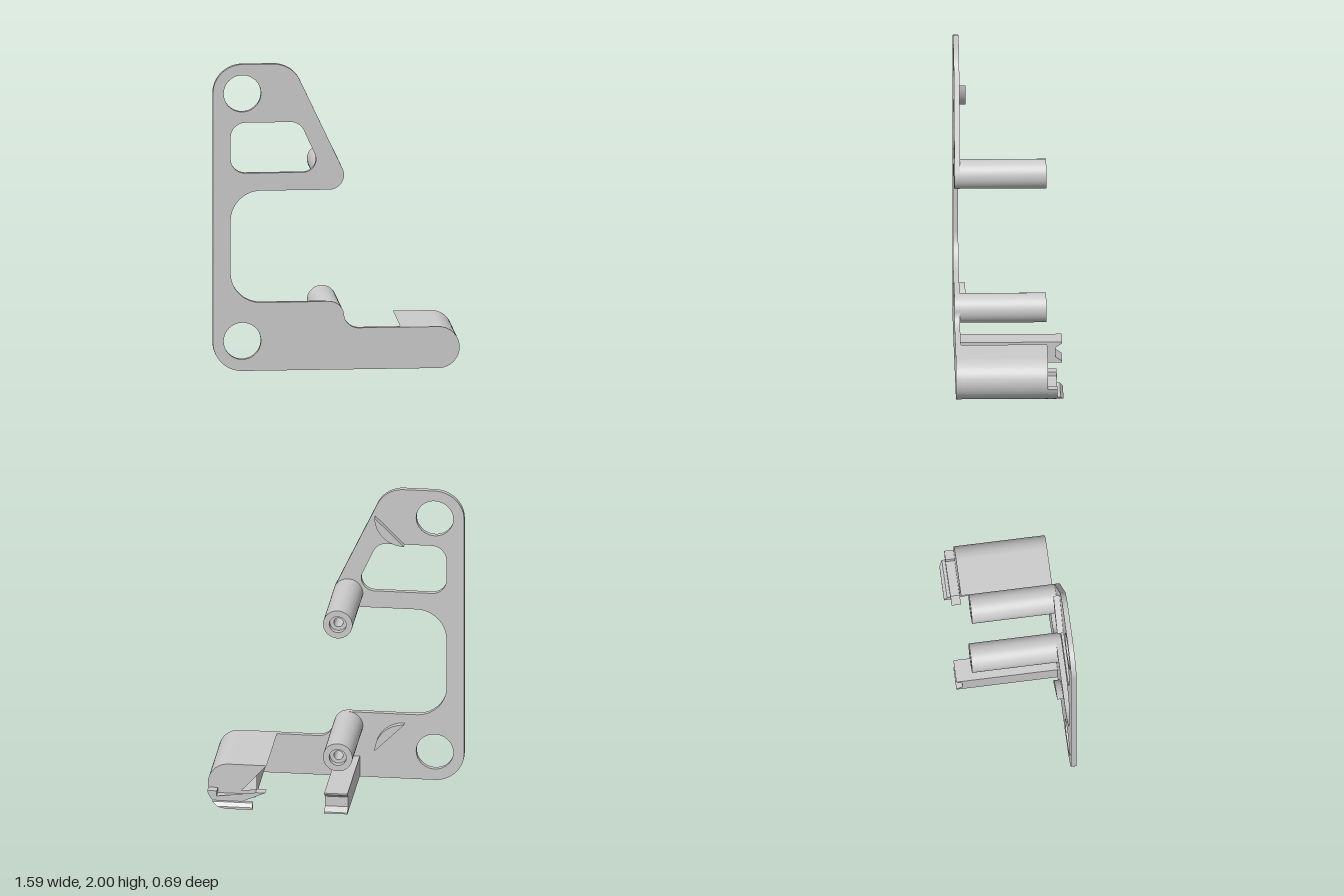
import * as THREE from 'three';
import { toCreasedNormals } from 'three/addons/utils/BufferGeometryUtils.js';

const FRONT = 0.345, BACK = 0.31, END = -0.245, TIP = -0.345;
const HALF = Math.PI / 2;
const material = new THREE.MeshStandardMaterial({ color: 0xcccccc, side: THREE.DoubleSide });

function addMesh(group, name, geometry) {
  const mesh = new THREE.Mesh(toCreasedNormals(geometry, 0.5), material);
  mesh.name = name;
  group.add(mesh);
  return mesh;
}

// Extrude an x-y outline between two depths
function slab(shape, zBack, zFront) {
  const g = new THREE.ExtrudeGeometry(shape, { depth: zFront - zBack, bevelEnabled: false, curveSegments: 24 });
  return g.translate(0, 0, zBack);
}

function polygon(points, Type = THREE.Shape) {
  return new Type(points.map(([x, y]) => new THREE.Vector2(x, y)));
}

function roundHole(x, y, r) {
  const p = new THREE.Path();
  p.absarc(x, y, r, 0, Math.PI * 2, true);
  return p;
}

export function createModel() {
  const model = new THREE.Group();
  model.name = 'bracket';
  const slant = 0.4416; // normal angle of the sloping edge

  // Side plate: clockwise outline made of tangent arcs
  const plate = new THREE.Shape();
  plate.moveTo(-0.8, 0.19);
  plate.lineTo(-0.8, 1.81);
  plate.absarc(-0.61, 1.81, 0.19, Math.PI, HALF, true);
  plate.absarc(-0.41, 1.81, 0.19, HALF, slant, true);
  plate.absarc(-0.05, 1.27, 0.095, slant, -HALF, true);
  plate.absarc(-0.49, 0.98, 0.195, HALF, Math.PI, false);
  plate.absarc(-0.49, 0.64, 0.195, Math.PI, 3 * HALF, false);
  plate.absarc(-0.05, 0.35, 0.095, HALF, 0, true);
  plate.absarc(0.14, 0.365, 0.095, Math.PI, 3 * HALF, false);
  plate.absarc(0.655, 0.135, 0.135, HALF, -HALF, true);
  plate.absarc(-0.61, 0.19, 0.19, -HALF, -Math.PI, true);

  // Lightening window
  const win = new THREE.Path();
  win.moveTo(-0.685, 1.385);
  win.absarc(-0.59, 1.385, 0.095, Math.PI, 3 * HALF, false);
  win.absarc(-0.22, 1.375, 0.085, -HALF, slant, false);
  win.absarc(-0.3, 1.525, 0.095, slant, HALF, false);
  win.absarc(-0.59, 1.525, 0.095, HALF, Math.PI, false);
  win.closePath();
  plate.holes.push(win, roundHole(-0.61, 1.81, 0.12), roundHole(-0.61, 0.195, 0.12));
  addMesh(model, 'sidePlate', slab(plate, BACK, FRONT));

  // Standoff posts with a counterbored screw hole in the free end
  const profile = [[0, 0.25], [0.03, 0.25], [0.03, 0.515], [0.055, 0.515],
    [0.055, 0.555], [0.095, 0.555], [0.095, 0]].map(([r, h]) => new THREE.Vector2(r, h));
  for (const [name, y] of [['upperPost', 1.27], ['lowerPost', 0.35]]) {
    const post = new THREE.LatheGeometry(profile.slice().reverse(), 48);
    post.rotateX(-HALF);
    addMesh(model, name, post).position.set(-0.05, y, BACK);
  }

  // Quarter-disc locating tabs
  for (const [name, y, start] of [['upperTab', 1.81, -HALF], ['lowerTab', 0.195, 0]]) {
    const tab = new THREE.Shape();
    tab.moveTo(-0.415, y);
    tab.absarc(-0.415, y, 0.19, start, start + HALF, false);
    tab.closePath();
    addMesh(model, name, slab(tab, 0.27, BACK));
  }

  // Hollow foot block, rounded on the outer side
  const foot = new THREE.Shape();
  foot.moveTo(0.41, 0);
  foot.absarc(0.655, 0.135, 0.135, -HALF, HALF, false);
  foot.lineTo(0.41, 0.27);
  foot.closePath();
  foot.holes.push(polygon([[0.475, 0.07], [0.475, 0.2], [0.725, 0.2], [0.725, 0.07]], THREE.Path));
  addMesh(model, 'footBlock', slab(foot, END, BACK));

  // Low ledge continuing the foot block
  const ledge = new THREE.Shape();
  ledge.moveTo(0.41, 0);
  ledge.absarc(0.655, 0.135, 0.135, -HALF, -0.224, false);
  for (const [x, y] of [[0.725, 0.105], [0.725, 0.07], [0.475, 0.07], [0.475, 0.105], [0.41, 0.105]]) ledge.lineTo(x, y);
  ledge.closePath();
  addMesh(model, 'footLedge', slab(ledge, -0.305, END));

  // Snap lip: a box whose outer end follows the round and whose top edge is bevelled
  const lip = new THREE.BoxGeometry(1, 1, 1, 1, 8, 1);
  const p = lip.attributes.position;
  for (let i = 0; i < p.count; i++) {
    const y = (p.getY(i) + 0.5) * 0.04;
    const outer = 0.655 + Math.sqrt(0.135 ** 2 - (0.135 - y) ** 2);
    const back = TIP + Math.max(0, y - 0.015) * 0.8;
    p.setXYZ(i, p.getX(i) > 0 ? outer : 0.49, y, p.getZ(i) > 0 ? -0.3 : back);
  }
  addMesh(model, 'footSnapLip', lip);

  // Support arm with a notched tip, drawn in z-y and extruded across x
  const arm = polygon([[-BACK, 0], [-TIP, 0], [-TIP, 0.01], [0.305, 0.037],
    [0.305, 0.103], [-TIP, 0.13], [-TIP, 0.14], [-BACK, 0.14]]);
  const armGeometry = slab(arm, -0.075, 0.075).rotateY(HALF);
  addMesh(model, 'supportArm', armGeometry).position.x = -0.05;

  return model;
}
